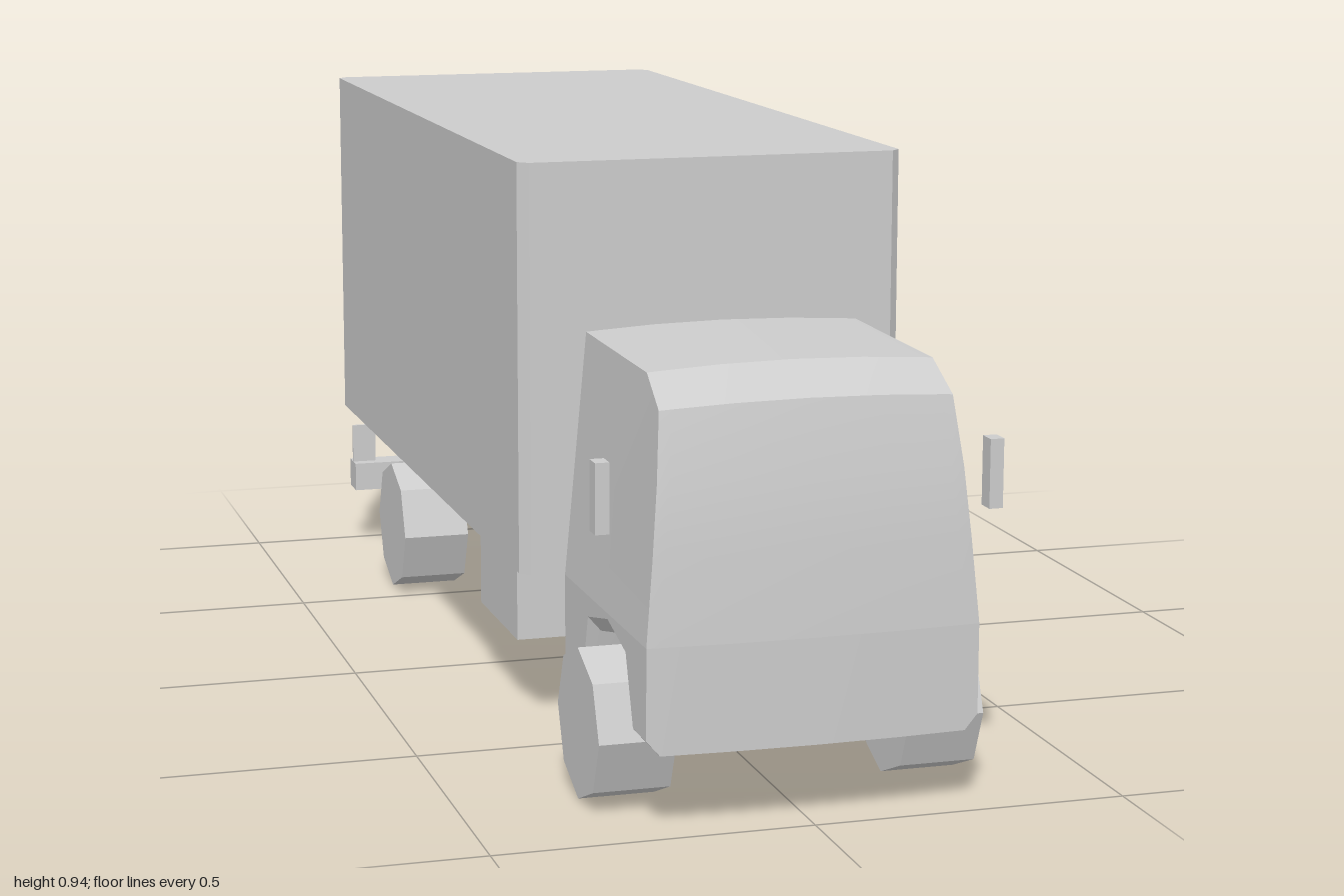
import * as THREE from 'three';
import { toCreasedNormals } from 'three/addons/utils/BufferGeometryUtils.js';

const grey = new THREE.MeshStandardMaterial({ color: 0xcccccc });
grey.name = 'plain grey';

function add(parent, name, geometry) {
  const mesh = new THREE.Mesh(geometry, grey);
  mesh.name = name;
  parent.add(mesh);
  return mesh;
}

// Box given by its extents on each axis
function block(parent, name, [x0, x1], [y0, y1], [z0, z1]) {
  const mesh = add(parent, name, new THREE.BoxGeometry(x1 - x0, y1 - y0, z1 - z0));
  mesh.position.set((x0 + x1) / 2, (y0 + y1) / 2, (z0 + z1) / 2);
  return mesh;
}

const shapeOf = (points) => new THREE.Shape(points.map(([a, b]) => new THREE.Vector2(a, b)));

// Side profile (z, y) spread across the cab width; bend(p, u) adjusts each point, u = -1..1
const STATIONS = [-1, -0.92, -0.5, 0, 0.5, 0.92, 1];
function cabSection(profile, bend) {
  const geo = new THREE.ExtrudeGeometry(shapeOf(profile), { depth: 6, steps: 6, bevelEnabled: false });
  geo.rotateY(-Math.PI / 2);
  const pos = geo.attributes.position;
  const p = new THREE.Vector3();
  for (let i = 0; i < pos.count; i++) {
    p.fromBufferAttribute(pos, i);
    const u = STATIONS[6 + Math.round(p.x)];
    // Sides lean inward above the waist
    p.x = u * (0.261 - 0.09 * Math.max(0, p.y - 0.29));
    if (p.z > 0.93) p.z -= 0.01 * u * u;
    bend(p, u);
    pos.setXYZ(i, p.x, p.y, p.z);
  }
  return toCreasedNormals(geo, 0.45);
}

export function createModel() {
  const truck = new THREE.Group();
  truck.name = 'boxTruck';

  // Cab: tapered upper body with a crowned roof, lower body with wheel arches
  const cab = new THREE.Group();
  cab.name = 'cab';
  truck.add(cab);
  add(cab, 'cabUpper', cabSection(
    [[0.53, 0.29], [1, 0.29], [0.992, 0.42], [0.98, 0.53], [0.955, 0.643], [0.87, 0.686], [0.53, 0.69]],
    (p, u) => { if (p.y > 0.6) p.y -= 0.009 * u * u; }));
  add(cab, 'cabLower', cabSection(
    [[0.53, 0.29], [0.53, 0.125], [0.635, 0.125], [0.668, 0.232], [0.78, 0.257],
      [0.88, 0.232], [0.92, 0.125], [1, 0.125], [1, 0.29]],
    (p, u) => { if (p.y < 0.28 && Math.abs(u) === 1) p.y += 0.024; }));

  // Cargo box with chamfered upright corners
  const w = 0.32, c = 0.016, zf = 0.48, zb = -1;
  const plan = shapeOf([[-w + c, -zf], [w - c, -zf], [w, -zf + c], [w, -zb - c],
    [w - c, -zb], [-w + c, -zb], [-w, -zb - c], [-w, -zf + c]]);
  const cargo = new THREE.ExtrudeGeometry(plan, { depth: 0.665, bevelEnabled: false });
  cargo.rotateX(-Math.PI / 2);
  add(truck, 'cargoBox', cargo).position.y = 0.28;

  // Chassis
  block(truck, 'rearCrossMember', [-0.1, 0.1], [0.146, 0.219], [-0.969, -0.83]);
  block(truck, 'sideTank', [-0.28, -0.13], [0.12, 0.24], [0.03, 0.29]);
  block(truck, 'rearBumper', [-0.308, 0.308], [0.11, 0.165], [-1, -0.945]);

  // Paired parts
  for (const s of [-1, 1]) {
    const side = s > 0 ? 'left' : 'right';
    const span = (a, b) => (s > 0 ? [a, b] : [-b, -a]);
    block(truck, side + 'ChassisRail', span(0.09, 0.12), [0.145, 0.22], [-0.97, 0.54]);
    block(truck, side + 'BumperPost', span(0.262, 0.308), [0.16, 0.24], [-0.974, -0.968]);
    block(truck, side + 'Mirror', span(0.299, 0.321), [0.45, 0.558], [0.897, 0.928]);
    for (const [end, z] of [['Front', 0.78], ['Rear', -0.59]]) {
      const wheel = new THREE.CylinderGeometry(0.12, 0.12, 0.122, 8).rotateZ(Math.PI / 2);
      add(truck, side + end + 'Wheel', toCreasedNormals(wheel, 0.4)).position.set(s * 0.247, 0.12, z);
    }
  }
  return truck;
}
